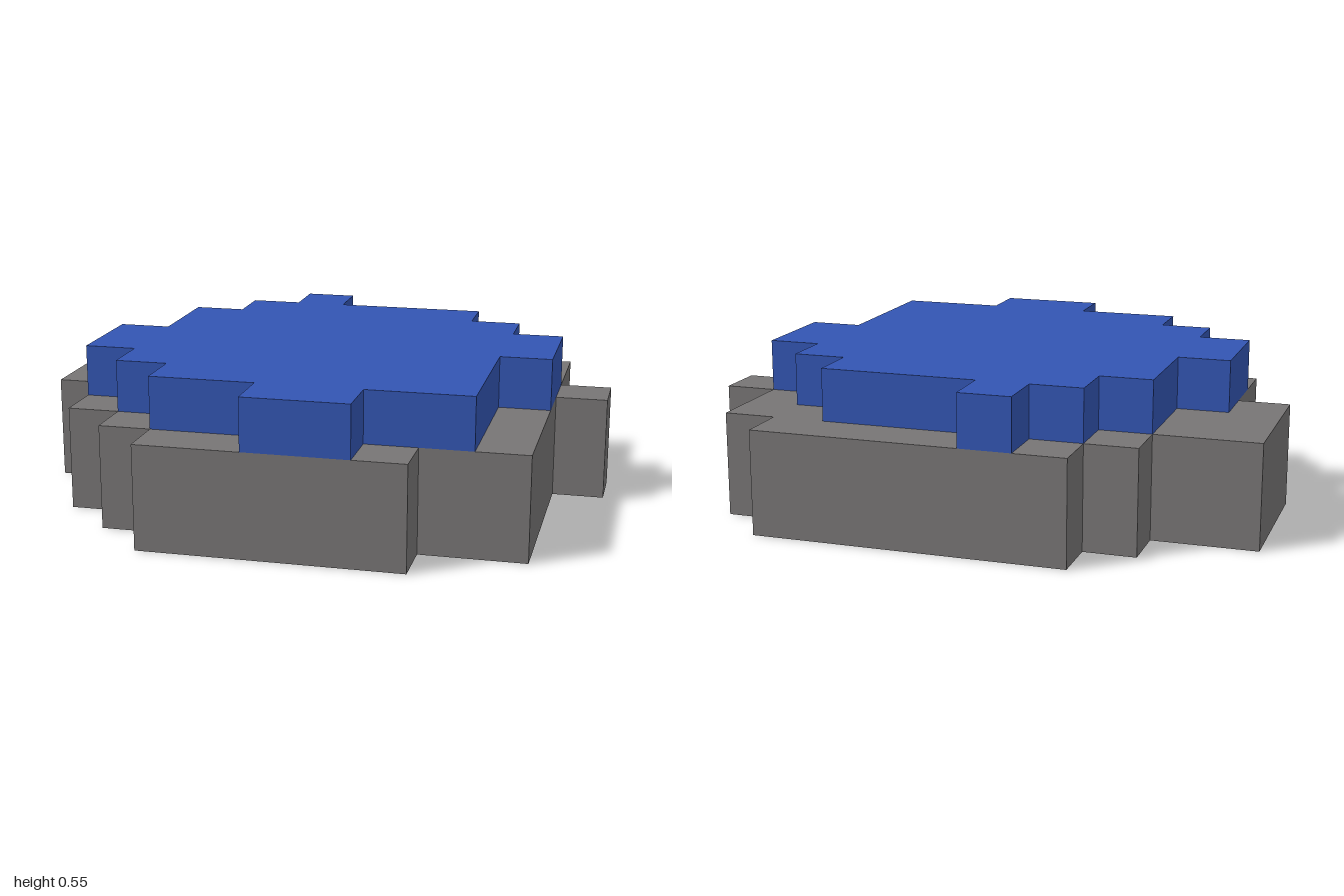
import * as THREE from 'three';

const U = 2 / 11; // one grid cell

// [first, last] column edges of each row, from back to front
const RIM_ROWS = [[3, 9], [2, 10], [0, 10], [0, 11], [0, 10], [1, 10], [1, 10], [2, 10], [3, 8]];
const WATER_ROWS = [[4, 5], [3, 8], [2, 9], [2, 10], [1, 10], [1, 9], [2, 9], [3, 9], [5, 7]];

// Stepped outline: down the right ends of the rows, back up the left ends
function outline(rows) {
  const points = [];
  const add = (col, row) => {
    const p = new THREE.Vector2((col - 5.5) * U, (4.5 - row) * U);
    // drop the middle point of a straight run
    const n = points.length;
    if (n > 1 && points[n - 1].x === p.x && points[n - 2].x === p.x) points.pop();
    points.push(p);
  };
  rows.forEach(([, last], j) => { add(last, j); add(last, j + 1); });
  for (let j = rows.length - 1; j >= 0; j--) { add(rows[j][0], j + 1); add(rows[j][0], j); }
  // remove repeated points where neighbouring rows share an end
  return new THREE.Shape(points.filter((p, i) => i === 0 || !p.equals(points[i - 1])));
}

function slab(name, rows, bottom, height, material) {
  const geometry = new THREE.ExtrudeGeometry(outline(rows), { depth: height, bevelEnabled: false });
  geometry.rotateX(-Math.PI / 2);
  const mesh = new THREE.Mesh(geometry, material);
  mesh.name = name;
  mesh.position.y = bottom;
  return mesh;
}

export function createModel() {
  const gray = new THREE.MeshStandardMaterial({ name: 'stone gray', color: 0x777575 });
  const blue = new THREE.MeshStandardMaterial({ name: 'deep blue', color: 0x3355b2 });

  const model = new THREE.Group();
  model.name = 'steppedDisc';
  model.add(
    slab('base', RIM_ROWS, 0, 2 * U, gray), // two cells high
    slab('topLayer', WATER_ROWS, 2 * U, U, blue), // one cell high
  );
  return model;
}
